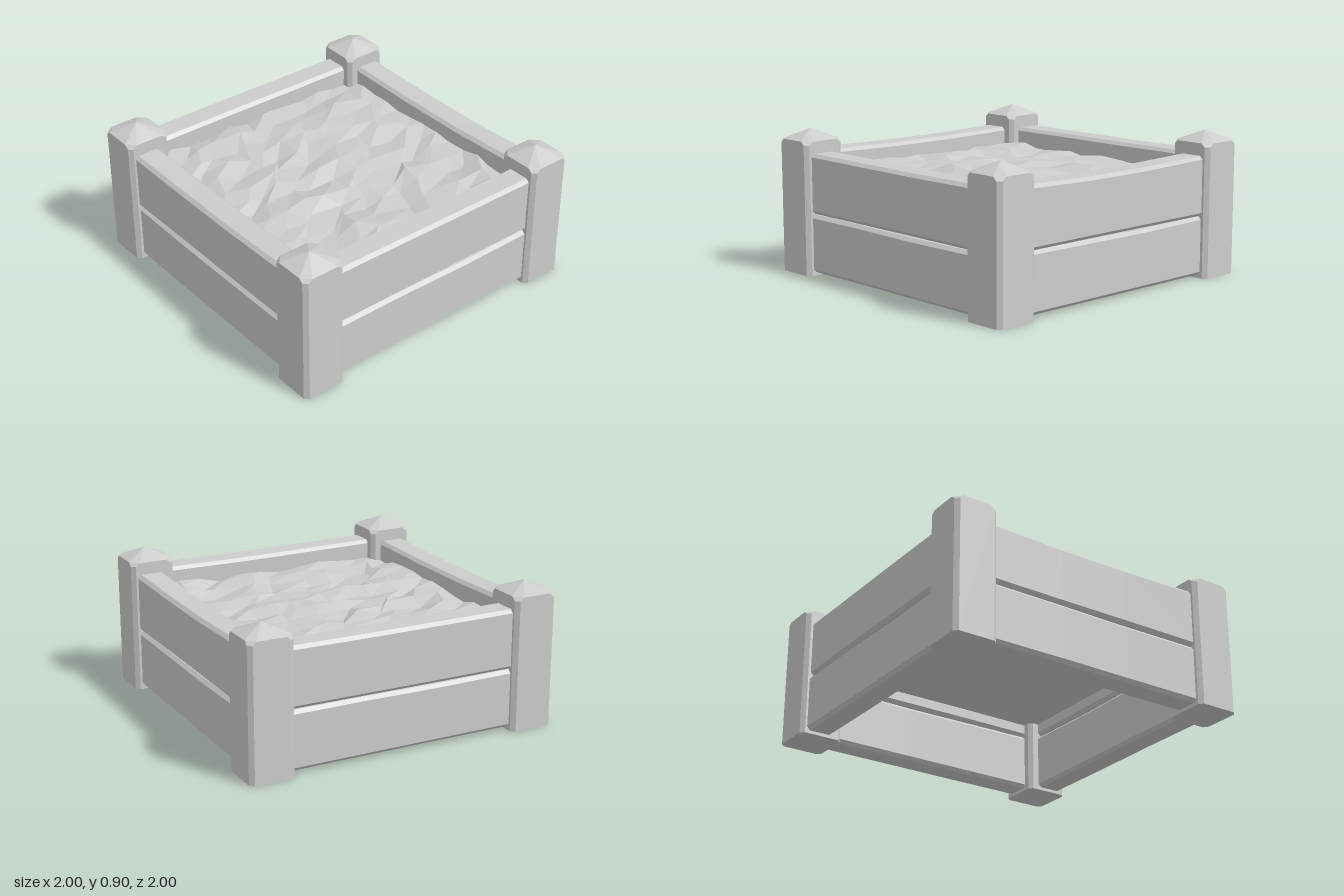
import * as THREE from 'three';

// Closed solid through rings of equal point count, counter-clockwise about the direction of travel
function loft(rings) {
  const pos = [];
  const tri = (a, b, c) => pos.push(...a, ...b, ...c);
  const n = rings[0].length;
  for (let r = 0; r < rings.length - 1; r++) {
    for (let i = 0; i < n; i++) {
      const j = (i + 1) % n;
      const [a, b, c, d] = [rings[r][i], rings[r][j], rings[r + 1][j], rings[r + 1][i]];
      tri(a, b, c);
      tri(a, c, d);
    }
  }
  const first = rings[0], last = rings[rings.length - 1];
  for (let i = 1; i < n - 1; i++) {
    tri(first[0], first[i + 1], first[i]);
    tri(last[0], last[i], last[i + 1]);
  }
  const g = new THREE.BufferGeometry();
  g.setAttribute('position', new THREE.Float32BufferAttribute(pos, 3));
  g.computeVertexNormals();
  return g;
}

// Rectangle with cut corners, counter-clockwise in (u, v)
function cutRect(u0, u1, v0, v1, c) {
  return [
    [u1, v0 + c], [u1, v1 - c], [u1 - c, v1], [u0 + c, v1],
    [u0, v1 - c], [u0, v0 + c], [u0 + c, v0], [u1 - c, v0],
  ];
}

// Repeatable value in -1..1
function hash(a, b, k) {
  const s = Math.sin(a * 127.1 + b * 311.7 + k * 74.7) * 43758.5453;
  return (s - Math.floor(s)) * 2 - 1;
}

// Corner post: chamfered shaft with a low pointed cap
function postGeometry() {
  const ring = (half, c, y) => cutRect(-half, half, -half, half, c).map(([u, v]) => [u, y, -v]);
  return loft([
    ring(0.14, 0.025, 0),
    ring(0.14, 0.025, 0.815),
    ring(0.14, 0.05, 0.837),
    ring(0.001, 0.0004, 0.9),
  ]);
}

// Bevelled plank along x, slightly worn along its top and faces
function plankGeometry(y0, y1, sag, seed) {
  const stations = [-0.82, -0.72, -0.25, 0.2, 0.72, 0.82];
  return loft(stations.map((x, i) => {
    const top = y1 - sag * Math.max(0, 1 - (x / 0.72) ** 2);
    const shift = 0.003 * hash(i, seed, 1);
    return cutRect(y0, top + 0.003 * hash(i, seed, 2), 0.785 + shift, 0.96 + shift, 0.021)
      .map(([u, v]) => [x, u, v]);
  }));
}

// Soil slab: flat underside, rough faceted top
function soilGeometry() {
  const g = new THREE.BoxGeometry(1.6, 0.17, 1.6, 11, 1, 13);
  g.translate(0, 0.555, 0);
  const p = g.attributes.position;
  for (let i = 0; i < p.count; i++) {
    if (p.getY(i) < 0.6) continue;
    const x = p.getX(i), z = p.getZ(i);
    const a = Math.round(x * 100), b = Math.round(z * 100);
    p.setY(i, 0.64 + 0.026 * hash(a, b, 1));
    if (Math.abs(x) < 0.79 && Math.abs(z) < 0.79) {
      p.setX(i, x + 0.05 * hash(a, b, 2));
      p.setZ(i, z + 0.04 * hash(a, b, 3));
    }
  }
  g.computeVertexNormals();
  return g;
}

export function createModel() {
  const model = new THREE.Group();
  model.name = 'raisedGardenBed';
  const grey = new THREE.MeshStandardMaterial({ color: 0xcccccc, flatShading: true });
  grey.name = 'plainGrey';

  const add = (geometry, name, parent = model) => {
    const mesh = new THREE.Mesh(geometry, grey);
    mesh.name = name;
    parent.add(mesh);
    return mesh;
  };

  // Four corner posts
  const post = postGeometry();
  for (const sx of [-1, 1]) {
    for (const sz of [-1, 1]) {
      add(post, (sz > 0 ? 'front' : 'back') + (sx > 0 ? 'Left' : 'Right') + 'Post')
        .position.set(sx * 0.86, 0, sz * 0.86);
    }
  }

  // Two planks on each of the four sides
  ['front', 'left', 'back', 'right'].forEach((side, i) => {
    const wall = new THREE.Group();
    wall.name = side + 'Wall';
    wall.rotation.y = i * Math.PI / 2;
    add(plankGeometry(0.02, 0.386, 0.004, i * 2), side + 'LowerPlank', wall);
    add(plankGeometry(0.388, 0.76, i % 2 ? 0.012 : 0.002, i * 2 + 1), side + 'UpperPlank', wall);
    model.add(wall);
  });

  add(soilGeometry(), 'soil');
  return model;
}
